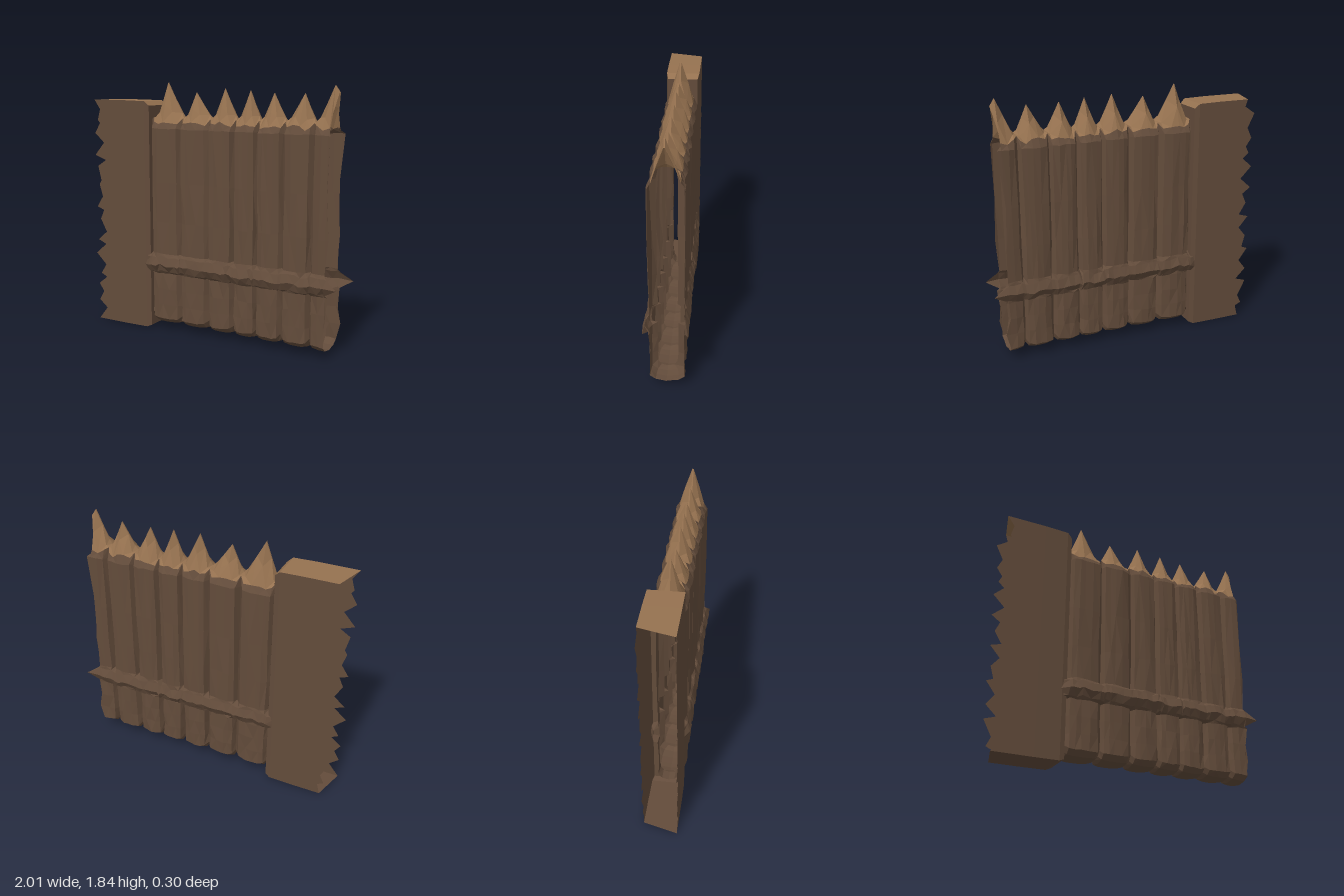
import * as THREE from 'three';

const darkWood = new THREE.MeshStandardMaterial({ color: 0x634c3b, side: THREE.DoubleSide });
darkWood.name = 'dark wood';
const cutWood = new THREE.MeshStandardMaterial({ color: 0x967250, side: THREE.DoubleSide });
cutWood.name = 'cut wood';

const lerp = THREE.MathUtils.lerp;

function seeded(seed) {
  return () => {
    seed = (seed * 16807) % 2147483647;
    return seed / 2147483647;
  };
}

// Skin closed loops that follow each other along +x; isCut(j) picks the colour of each strip.
function loft(name, loops, isCut) {
  const faces = [[], []];
  const n = loops[0].length;
  for (let i = 0; i < loops.length - 1; i++) {
    for (let j = 0; j < n; j++) {
      const k = (j + 1) % n;
      const [a, b, c, d] = [loops[i][j], loops[i + 1][j], loops[i + 1][k], loops[i][k]];
      const list = faces[isCut(j) ? 1 : 0];
      const order = (i + j) % 2 ? [a, b, c, a, c, d] : [a, b, d, b, c, d];
      order.forEach((p) => list.push(...p));
    }
  }
  const group = new THREE.Group();
  group.name = name;
  faces.forEach((list, m) => {
    const geometry = new THREE.BufferGeometry();
    geometry.setAttribute('position', new THREE.Float32BufferAttribute(list, 3));
    geometry.computeVertexNormals();
    const mesh = new THREE.Mesh(geometry, m ? cutWood : darkWood);
    mesh.name = name + (m ? 'CutWood' : 'Bark');
    group.add(mesh);
  });
  return group;
}

// Hollow end block with a splintered open side
function makeBlock() {
  const rand = seeded(41);
  const rows = 26;
  const height = 1.71;
  const loopAt = (place) => {
    const loop = [];
    for (let j = 0; j <= rows; j++) loop.push(place(j, 1));
    for (let j = rows; j >= 0; j--) loop.push(place(j, -1));
    return loop;
  };
  const depth = (s) => (s > 0 ? 0.112 : -0.128);
  const torn = loopAt((j, s) => {
    const end = j === 0 || j === rows;
    let x = j % 2 ? -0.89 - rand() * 0.05 : -0.945 - rand() * 0.045;
    if (end) x = s > 0 ? -0.985 : -0.92;
    if (j === 8 && s > 0) x = -1;
    const y = end ? (j / rows) * height : ((j + (rand() - 0.5) * 0.9) / rows) * height;
    return [x, y, depth(s)];
  });
  const straight = (x, inset) => loopAt((j, s) =>
    [x, lerp(inset, height - inset * 2, j / rows), depth(s) - s * inset * 0.7]);
  return loft('endBlock', [torn, straight(-0.7, 0), straight(-0.53, 0.002), straight(-0.495, 0.018)],
    (j) => j === rows);
}

// Side of the block around the opening towards the stakes
function makeBlockSide() {
  const shape = new THREE.Shape();
  shape.moveTo(-0.1, 0.018);
  shape.lineTo(0.116, 0.018);
  shape.lineTo(0.116, 1.674);
  shape.lineTo(-0.1, 1.674);
  shape.closePath();
  const hole = new THREE.Path();
  hole.moveTo(-0.064, 0.09);
  hole.lineTo(-0.064, 1.53);
  hole.lineTo(-0.02, 1.58);
  hole.lineTo(0.02, 1.58);
  hole.lineTo(0.07, 1.53);
  hole.lineTo(0.07, 0.09);
  hole.closePath();
  shape.holes.push(hole);
  const geometry = new THREE.ShapeGeometry(shape);
  geometry.rotateY(Math.PI / 2);
  geometry.translate(-0.495, 0, 0);
  const mesh = new THREE.Mesh(geometry, darkWood);
  mesh.name = 'endBlockSide';
  return mesh;
}

// Row of sharpened stakes with a crossbeam on both faces, one continuous hollow skin
function makePalisade() {
  const rand = seeded(977);
  const jit = (a) => (rand() - 0.5) * 2 * a;
  const seams = [-0.485, -0.235, -0.005, 0.2, 0.38, 0.575, 0.785, 0.98];
  const tips = [[-0.385, 1.84], [-0.145, 1.77], [0.09, 1.8], [0.29, 1.79], [0.47, 1.775], [0.695, 1.775], [0.905, 1.83]];
  const BARK_TOP = 13;

  // One loop: up the front, over the tip and down the back
  function section(x, rise, full, tipY, endX) {
    const top = lerp(1.59, tipY, rise);
    const wave = jit(0.012);
    const low = lerp(0.075, 0.045, full);
    const paint = rise === 0 ? 1.585 : Math.min(top - 0.008, 1.555 + jit(0.022));
    const side = (s) => {
      const d = (s > 0 ? 0.111 : 0.122) * lerp(0.58, 1, full);
      const beam = s > 0 ? 0.146 : 0.149;
      const profile = [
        [low, 0], [low + 0.012, d * 0.65], [low + 0.045, d], [0.2, d], [0.32, d], [0.44, d],
        [0.455 + wave, beam - 0.026], [0.505 + wave, beam], [0.565 + wave, beam - 0.022], [0.59, d],
        [0.83, d], [1.12, d], [1.51, d], [paint, d * 0.78],
        [lerp(paint, top, 0.45), d * 0.47], [top, d * 0.04],
      ];
      return profile.map(([y, z], j) => {
        const rough = j > 1 && j < 13 ? 0.005 : 0;
        const px = endX ? endX[j] + (s < 0 ? jit(0.015) : 0) : x + jit(rough);
        return [px, y + jit(rough * 0.8), s * z + jit(rough)];
      });
    };
    return [...side(1), ...side(-1).reverse()];
  }

  // Beam root buried in the block
  const root = section(-0.57, 0, 0, 1.6).map(([x, y, z]) =>
    [x, y, THREE.MathUtils.clamp(z, -0.105, 0.09)]);
  const loops = [root];
  const across = [0, 0.2, 0.6, 1];
  const rises = [0, 0.13, 0.55, 1];
  const fulls = [0, 0.75, 0.97, 1];
  tips.forEach(([tx, ty], i) => {
    for (let k = 0; k < 4; k++) {
      loops.push(section(lerp(seams[i], tx, across[k]), rises[k], fulls[k], ty));
    }
    if (i === tips.length - 1) return;
    for (let k = 2; k > 0; k--) {
      loops.push(section(lerp(seams[i + 1], tx, across[k]), rises[k], fulls[k], ty));
    }
  });
  // Splintered open end
  loops.push(section(0.92, 0.8, 0.95, 1.83,
    [0.91, 0.895, 0.9, 0.925, 0.915, 0.93, 0.91, 1, 0.925, 0.905, 0.925, 0.91, 0.92, 0.908, 0.912, 0.935]));
  // Bare wood only on the sharpened ends
  return loft('stakes', loops, (j) => j >= BARK_TOP && j < 31 - BARK_TOP);
}

export function createModel() {
  const model = new THREE.Group();
  model.name = 'palisadeWall';
  model.add(makeBlock(), makeBlockSide(), makePalisade());
  return model;
}
